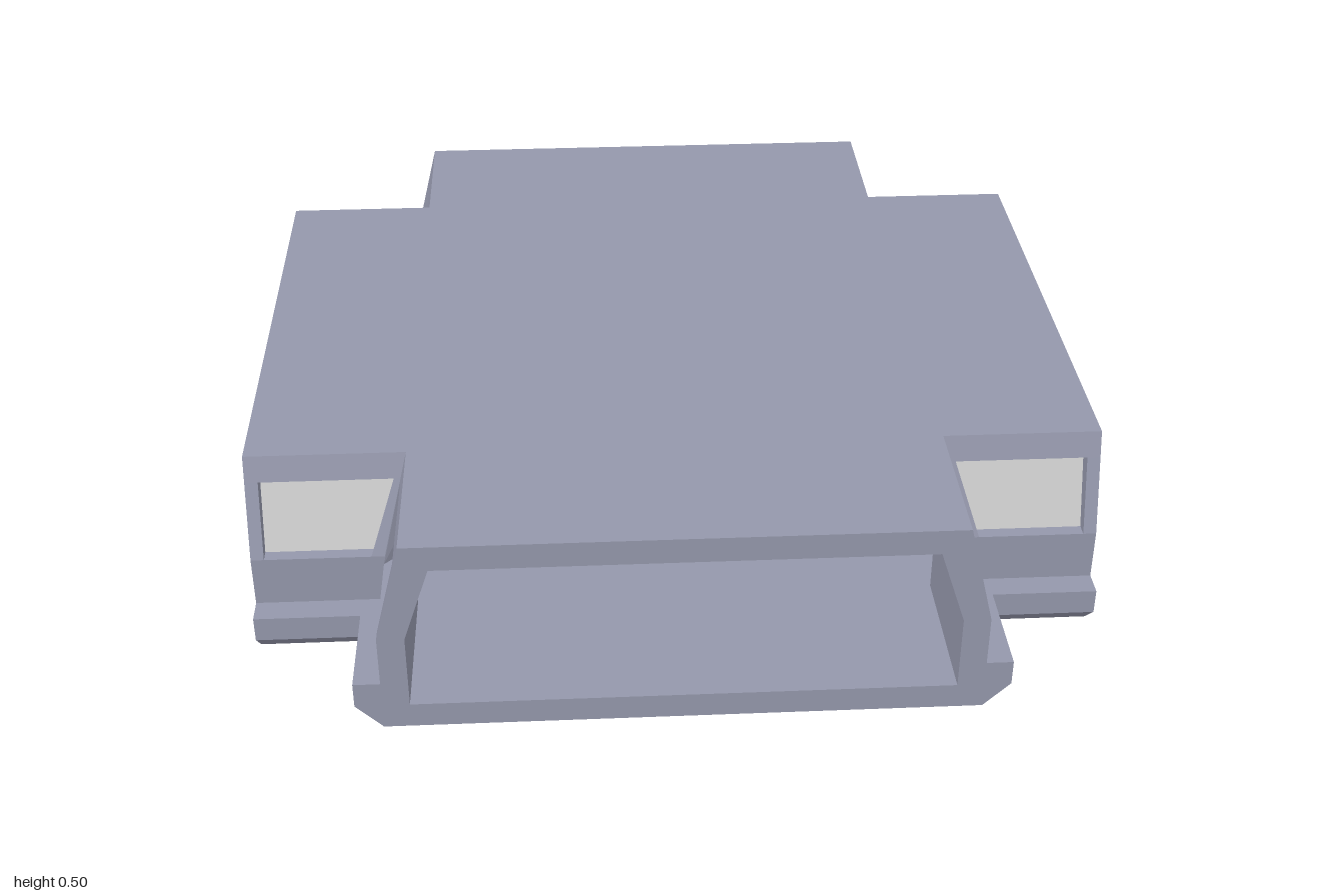
import * as THREE from 'three';

const hull = new THREE.MeshStandardMaterial({ color: 0x9497ab, flatShading: true });
const glass = new THREE.MeshStandardMaterial({ color: 0xcccccc, flatShading: true, side: THREE.DoubleSide });

// Solid from stacked plans: levels = [[y, [[x, z], ...]], ...], plans run from +x towards +z
function loft(name, levels) {
  const pos = [];
  const n = levels[0][1].length;
  const at = (level, i) => [level[1][i % n][0], level[0], level[1][i % n][1]];
  for (let k = 0; k + 1 < levels.length; k++) {
    const lo = levels[k], hi = levels[k + 1];
    for (let i = 0; i < n; i++) {
      const a = at(lo, i), b = at(lo, i + 1), c = at(hi, i + 1), d = at(hi, i);
      if (String(a) === String(d) && String(b) === String(c)) continue;
      pos.push(...a, ...d, ...b, ...b, ...d, ...c);
    }
  }
  // Bottom and top caps
  for (const [level, up] of [[levels[0], false], [levels[levels.length - 1], true]]) {
    const pts = level[1].map(([x, z]) => new THREE.Vector2(x, z));
    for (const [a, b, c] of THREE.ShapeUtils.triangulateShape(pts, [])) {
      const ccw = THREE.ShapeUtils.area([pts[a], pts[b], pts[c]]) > 0;
      const order = ccw === up ? [a, c, b] : [a, b, c];
      for (const i of order) pos.push(...at(level, i));
    }
  }
  return surface(name, pos, hull);
}

function surface(name, pos, material) {
  const g = new THREE.BufferGeometry();
  g.setAttribute('position', new THREE.Float32BufferAttribute(pos, 3));
  g.computeVertexNormals();
  const mesh = new THREE.Mesh(g, material);
  mesh.name = name;
  return mesh;
}

// Plus-shaped plan with arms of half width w
function crossPlan(w) {
  const pts = [];
  let arm = [[1, -w], [1, w], [w, w]];
  for (let k = 0; k < 4; k++) {
    pts.push(...arm);
    arm = arm.map(([x, z]) => [-z, x]);
  }
  return pts;
}

// L-shaped wall plan between an inner and an outer offset
const wallPlan = (i, o) => [[1, i], [1, o], [o, o], [o, 1], [i, 1], [i, i]];
// Mitred post in the re-entrant corner, e = outer frame width
const cornerPlan = (i, o, e) => [[o + e, o], [o, o], [o, o + e], [i, i + 0.031], [i, i], [i + 0.031, i]];
const endPlan = (i, o) => [[0.969, i], [1, i], [1, o], [0.969, o]];
const swap = (plan) => plan.map(([x, z]) => [z, x]).reverse();

const SILL = 0.25, HEAD = 0.4375;
const IN_LO = 0.625, OUT_LO = 0.6875, IN_HI = 0.5625, OUT_HI = 0.6406;

function makeCorner() {
  const corner = new THREE.Group();
  corner.name = 'cornerWall';
  // Low wall with stepped curb
  corner.add(loft('lowerWall', [
    [0.0625, wallPlan(IN_LO, 0.75)],
    [0.125, wallPlan(IN_LO, 0.75)],
    [0.125, wallPlan(IN_LO, OUT_LO)],
    [SILL, wallPlan(IN_LO, OUT_LO)],
  ]));
  // Leaning window posts
  corner.add(loft('cornerPost', [
    [SILL, cornerPlan(IN_LO, OUT_LO, 0.031)],
    [HEAD, cornerPlan(IN_HI, OUT_HI, 0.0156)],
  ]));
  const lo = endPlan(IN_LO, OUT_LO), hi = endPlan(IN_HI, OUT_HI);
  corner.add(loft('endPostX', [[SILL, lo], [HEAD, hi]]));
  corner.add(loft('endPostZ', [[SILL, swap(lo)], [HEAD, swap(hi)]]));
  // Panes set halfway into the frames
  const zl = (IN_LO + OUT_LO) / 2, zh = (IN_HI + OUT_HI) / 2;
  const a = [0.6875, SILL, zl], b = [0.969, SILL, zl], c = [0.969, HEAD, zh], d = [0.625, HEAD, zh];
  const quad = [a, b, c, a, c, d];
  corner.add(surface('windowPaneX', quad.flat(), glass));
  corner.add(surface('windowPaneZ', quad.map(([x, y, z]) => [z, y, x]).reverse().flat(), glass));
  return corner;
}

export function createModel() {
  const model = new THREE.Group();
  model.name = 'corridorCrossing';
  // Floor flares out, roof tapers in
  model.add(loft('floor', [[0, crossPlan(0.6875)], [0.0625, crossPlan(0.75)]]));
  model.add(loft('roof', [[HEAD, crossPlan(OUT_HI)], [0.5, crossPlan(0.625)]]));
  for (let k = 0; k < 4; k++) {
    const corner = makeCorner();
    corner.rotation.y = k * Math.PI / 2;
    model.add(corner);
  }
  return model;
}
